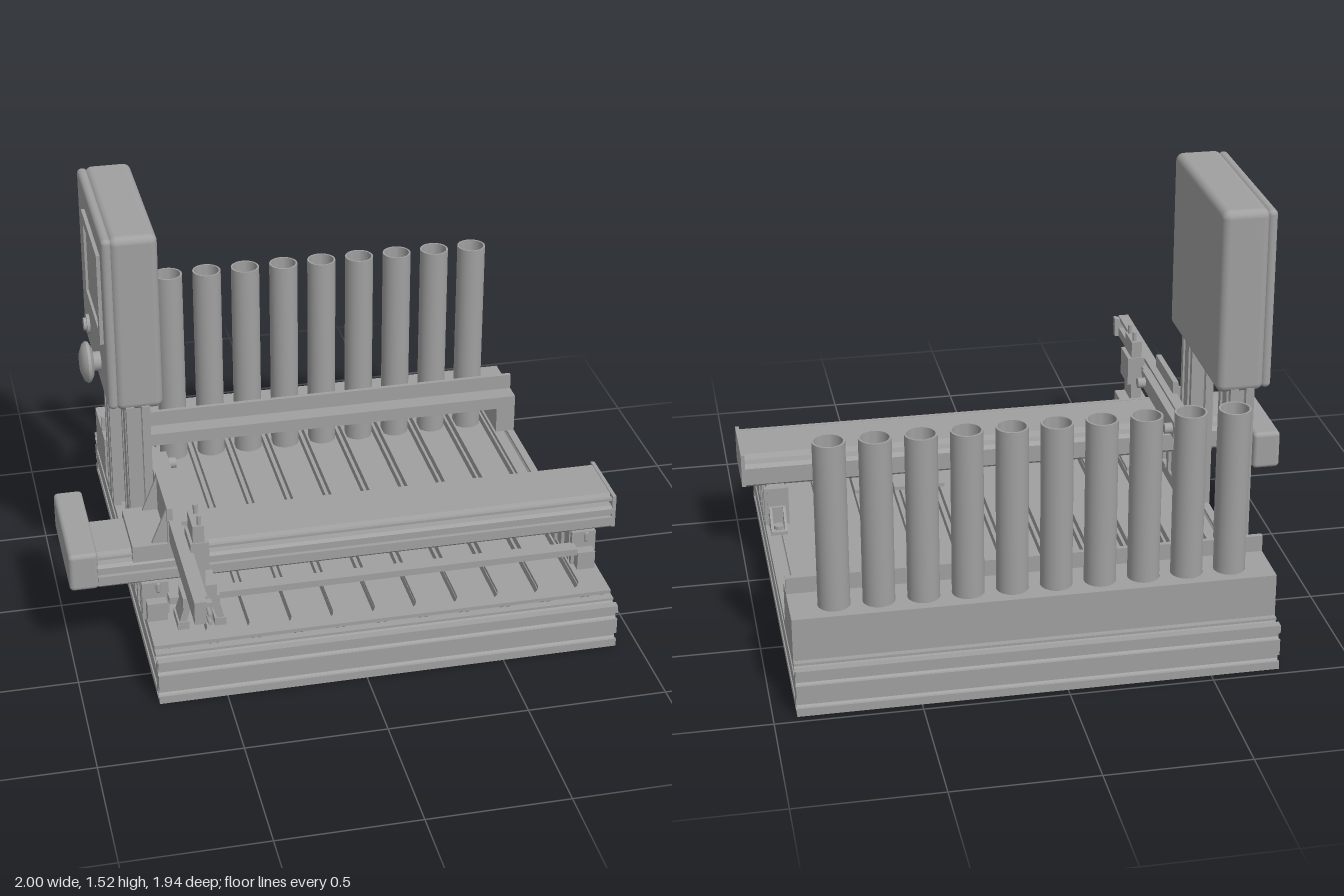
import * as THREE from 'three';
import { toCreasedNormals } from 'three/addons/utils/BufferGeometryUtils.js';
import { RoundedBoxGeometry } from 'three/addons/geometries/RoundedBoxGeometry.js';

const grey = new THREE.MeshStandardMaterial({ color: 0xa0a0a0 });
grey.name = 'machine grey';

export function createModel() {
  const model = new THREE.Group();
  model.name = 'tubeHandlingMachine';

  const add = (name, geo, x = 0, y = 0, z = 0) => {
    const m = new THREE.Mesh(geo, grey);
    m.name = name;
    m.position.set(x, y, z);
    model.add(m);
    return m;
  };
  // Boxes are given by their limits on each axis
  const box = (name, x0, x1, y0, y1, z0, z1, r = 0) => add(name,
    r ? new RoundedBoxGeometry(x1 - x0, y1 - y0, z1 - z0, 4, r) : new THREE.BoxGeometry(x1 - x0, y1 - y0, z1 - z0),
    (x0 + x1) / 2, (y0 + y1) / 2, (z0 + z1) / 2);
  const cyl = (name, r, len, axis, x, y, z, r2 = r) => {
    const g = new THREE.CylinderGeometry(r, r2, len, 28);
    if (axis === 'x') g.rotateZ(Math.PI / 2);
    if (axis === 'z') g.rotateX(Math.PI / 2);
    return add(name, g, x, y, z);
  };
  const extrude = (shape, depth) =>
    new THREE.ExtrudeGeometry(shape, { depth, bevelEnabled: false, curveSegments: 16 });
  // Outline in (z, y), extruded along +x
  const alongX = (name, pts, x0, x1) => {
    const s = new THREE.Shape(pts.map(([z, y]) => new THREE.Vector2(-z, y)));
    return add(name, extrude(s, x1 - x0).rotateY(Math.PI / 2), x0);
  };

  // T-slot profile of w x h with a number of slots on each side
  const slotProfile = (w, h, nw, nh) => {
    const pts = [];
    const corners = [[-w / 2, -h / 2], [w / 2, -h / 2], [w / 2, h / 2], [-w / 2, h / 2]];
    const notch = [[-.013, 0], [-.013, .009], [-.024, .009], [-.012, .024], [.012, .024], [.024, .009], [.013, .009], [.013, 0]];
    corners.forEach(([ax, ay], k) => {
      const [bx, by] = corners[(k + 1) % 4];
      const n = k % 2 ? nh : nw, len = Math.hypot(bx - ax, by - ay);
      const dx = (bx - ax) / len, dy = (by - ay) / len;
      pts.push(new THREE.Vector2(ax, ay));
      for (let i = 0; i < n; i++) {
        const c = len * (i + 0.5) / n;
        for (const [t, d] of notch) pts.push(new THREE.Vector2(ax + dx * (c + t) - dy * d, ay + dy * (c + t) + dx * d));
      }
    });
    return new THREE.Shape(pts);
  };

  // Base frame
  const L = -0.74, R = 0.92, F = 0.69, B = -0.97, U = 0.083, H = 0.17;
  const crossRail = extrude(slotProfile(U, H, 1, 2), R - L).rotateY(Math.PI / 2);
  add('frontRail', crossRail, L, H / 2, F - U / 2);
  add('backRail', crossRail, L, H / 2, B + U / 2);
  const sideRail = extrude(slotProfile(U, H, 1, 2), F - B - 2 * U);
  add('sideRail', sideRail, L + U / 2, H / 2, B + U);
  add('sideRail', sideRail, R - U / 2, H / 2, B + U);
  box('bottomPlate', L, R, 0, 0.006, B, F);
  box('laneFloor', L + U, R - U, 0.11, 0.125, B + U, F - U);

  // Lanes and tubes
  const tubeX = Array.from({ length: 10 }, (_, i) => -0.595 + i * 0.1515);
  const tubeZ = -0.807, tubeR = 0.055;
  const tubeGeo = toCreasedNormals(new THREE.LatheGeometry(
    [[0, .13], [tubeR, .13], [tubeR, .925], [.048, .925], [.048, .15], [0, .15]].map(p => new THREE.Vector2(...p)), 32), 0.6);
  tubeX.forEach((x, i) => {
    add('tube', tubeGeo, x, 0, tubeZ);
    const d = x + 0.0757;
    for (const s of [-1, 1]) box('laneDivider', d + s * 0.012 - 0.004, d + s * 0.012 + 0.004, 0.125, 0.155, -0.88, 0.6);
    if (i === 0) box('laneDivider', x - 0.07, x - 0.062, 0.125, 0.155, -0.88, 0.6);
  });

  // Front plate with a round-ended slot for each lane
  const plate = new THREE.Shape();
  plate.moveTo(L, -0.604).lineTo(R, -0.604).lineTo(R, -0.3);
  for (const x of [...tubeX].reverse()) {
    plate.lineTo(x + tubeR, -0.3).lineTo(x + tubeR, -0.515);
    plate.absarc(x, -0.515, tubeR, 0, Math.PI, true);
    plate.lineTo(x - tubeR, -0.3);
  }
  plate.lineTo(L, -0.3);
  add('frontPlate', extrude(plate, 0.014).rotateX(-Math.PI / 2), 0, H);

  // Tube holder
  const top = new THREE.Shape();
  top.moveTo(L, 0.627).lineTo(R, 0.627).lineTo(R, 0.895).lineTo(L, 0.895);
  for (const x of tubeX) {
    const hole = new THREE.Path();
    hole.absarc(x, -tubeZ, tubeR + 0.001, 0, Math.PI * 2, true);
    top.holes.push(hole);
  }
  add('holderTop', extrude(top, 0.02).rotateX(-Math.PI / 2), 0, 0.305);
  box('holderBack', L, R, H, 0.305, -0.895, -0.875);
  for (const [a, b] of [[L, L + 0.065], [R - 0.075, R]]) box('holderEnd', a, b, H, 0.305, -0.875, -0.627);
  box('holderLip', L, R, 0.275, 0.305, -0.64, -0.627);
  box('holderUpstand', L, R, 0.325, 0.385, -0.715, -0.698);

  // Corner bracket: foot, back plate, two triangular cheeks
  const bracket = (x0, x1, z) => {
    box('bracketFoot', x0, x1, H, H + 0.012, z - 0.08, z);
    box('bracketBack', x0, x1, H, H + 0.08, z - 0.012, z);
    for (const x of [x0, x1 - 0.01])
      alongX('bracketCheek', [[z, H], [z, H + 0.08], [z - 0.015, H + 0.08], [z - 0.08, H + 0.015], [z - 0.08, H]], x, x + 0.01);
    cyl('bracketBolt', 0.018, 0.014, 'y', (x0 + x1) / 2, H + 0.018, z - 0.045);
  };
  bracket(-0.73, -0.67, -0.535);
  bracket(0.845, 0.905, 0.095);

  // Posts
  const post = extrude(slotProfile(0.085, 0.152, 1, 2), 0.70).rotateX(-Math.PI / 2);
  for (const z of [0.054, -0.46]) add('post', post, -0.7, H, z);

  // Control head with screen, knob and button
  box('headShell', -0.775, -0.608, 0.855, 1.52, -0.54, 0.125, 0.028);
  box('headCover', -0.802, -0.765, 0.862, 1.515, -0.535, 0.12, 0.018);
  for (const [a, b, c, d] of [[1.1, 1.14, -.33, .07], [1.4, 1.44, -.33, .07], [1.14, 1.4, -.33, -.29], [1.14, 1.4, .03, .07]])
    box('screenFrame', -0.815, -0.795, a, b, c, d);
  box('screen', -0.806, -0.798, 1.14, 1.4, -0.29, 0.03);
  cyl('knobStem', 0.035, 0.05, 'x', -0.82, 0.965, -0.07);
  const knob = new THREE.LatheGeometry(
    [[0, 0], [.05, 0], [.072, .012], [.075, .022], [.066, .034], [.035, .046], [0, .046]].map(p => new THREE.Vector2(...p)), 32);
  add('knob', toCreasedNormals(knob, 0.7).rotateZ(Math.PI / 2), -0.829, 0.965, -0.07);
  cyl('buttonCollar', 0.036, 0.015, 'x', -0.806, 0.965, -0.37);
  cyl('button', 0.024, 0.016, 'x', -0.816, 0.965, -0.37);

  // Gantry supports with ribs
  for (const [a, b] of [[-0.75, -0.655], [0.83, 0.92]]) {
    alongX('gantrySupport', [[0.45, H], [0.45, 0.255], [0.4, 0.255], [0.4, 0.318], [0.1, 0.318], [0.1, H]], a + 0.012, b - 0.012);
    for (const z of [0.365, 0.28, 0.2, 0.115]) box('supportRib', a, b, H, 0.318, z - 0.012, z + 0.012);
    box('supportFace', a, b, H, 0.318, 0.39, 0.41);
    const slot = new THREE.CapsuleGeometry(0.01, 0.025, 4, 12);
    add('supportSlot', slot, (a + b) / 2 + 0.01, 0.295, 0.405);
  }
  box('crossBar', -0.66, 0.84, 0.247, 0.273, 0.40, 0.45);

  // Gantry beam, top cover and end parts
  alongX('gantryBeam', [[0.4, 0.325], [0.4, 0.36], [0.385, 0.36], [0.385, 0.375], [0.4, 0.375], [0.4, 0.395], [0.385, 0.402],
    [0.15, 0.402], [0.135, 0.39], [0.135, 0.325], [0.145, 0.315], [0.39, 0.315]], -0.9, 0.985);
  alongX('gantryCover', [[0.372, 0.425], [0.36, 0.442], [0.155, 0.442], [0.142, 0.425]], -0.9, 0.985);
  box('coverRail', -0.9, 0.985, 0.425, 0.435, 0.378, 0.392);
  box('gantryEndCap', 0.982, 0.996, 0.318, 0.445, 0.137, 0.397);
  box('driveHousing', -1, -0.897, 0.31, 0.455, -0.055, 0.397, 0.016);

  // Carriage with gusseted upright
  box('carriage', -0.775, -0.64, 0.405, 0.467, 0.135, 0.4);
  box('carriageUpright', -0.65, -0.63, 0.405, 0.607, 0.135, 0.4);
  for (const z of [0.15, 0.375]) {
    const g = new THREE.Shape([[-0.705, 0.467], [-0.65, 0.467], [-0.65, 0.6]].map(p => new THREE.Vector2(...p)));
    add('carriageGusset', extrude(g, 0.012), 0, 0, z);
  }

  // Reaching arm with guide channel and tip
  box('arm', -0.645, -0.62, 0.475, 0.56, -0.12, 0.93);
  for (const y of [0.475, 0.545]) box('armFlange', -0.62, -0.605, y, y + 0.015, -0.12, 0.93);
  box('armGuide', -0.62, -0.59, 0.5, 0.535, -0.1, 0.86);
  box('innerSlide', -0.605, -0.575, 0.485, 0.55, -0.1, 0.4);
  for (const z of [-0.07, 0.35]) cyl('slideBolt', 0.02, 0.05, 'x', -0.57, 0.517, z);
  box('armTip', -0.645, -0.585, 0.48, 0.555, 0.905, 0.93);
  for (const y of [0.503, 0.533]) cyl('armTipPin', 0.007, 0.06, 'z', -0.6, y, 0.945);

  // Vertical slide and gripper
  box('slideBody', -0.6, -0.535, 0.46, 0.57, 0.465, 0.585);
  box('slidePlate', -0.59, -0.55, 0.34, 0.635, 0.47, 0.58);
  for (const z of [0.49, 0.565]) cyl('slideRod', 0.008, 0.34, 'y', -0.565, 0.5, z);
  box('gripperBody', -0.615, -0.51, 0.335, 0.39, 0.475, 0.575);
  box('gripperBlock', -0.63, -0.5, 0.3, 0.345, 0.475, 0.575);
  for (const s of [-1, 1]) {
    const jaw = box('gripperJaw', -0.012, 0.012, -0.04, 0.04, 0.48, 0.57);
    jaw.position.set(-0.565 + s * 0.06, 0.27, 0.525);
    jaw.rotation.z = s * 0.3;
    box('gripperFoot', -0.565 + s * 0.065 - 0.02, -0.565 + s * 0.065 + 0.02, 0.22, 0.25, 0.475, 0.575);
  }
  return model;
}
